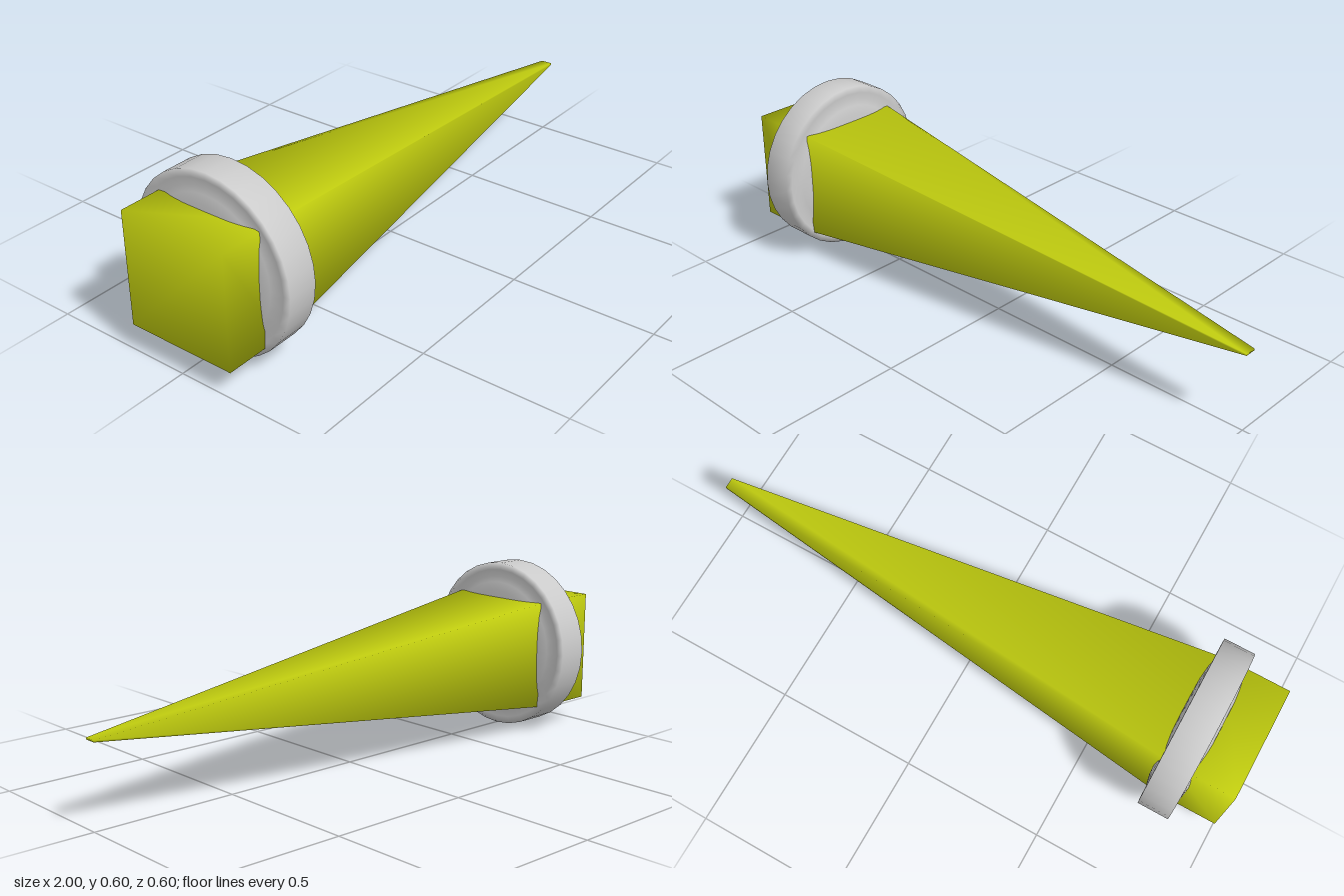
import * as THREE from 'three';

// Closed bar with rectangular sections along x; shared vertices keep it smooth
function taperedBar(sections) {
  const pos = [], idx = [];
  for (const [x, y, hy, hz] of sections)
    pos.push(x, y - hy, -hz, x, y - hy, hz, x, y + hy, hz, x, y + hy, -hz);
  for (let s = 0; s < sections.length - 1; s++)
    for (let i = 0; i < 4; i++) {
      const a = s * 4 + i, b = s * 4 + (i + 1) % 4;
      idx.push(a, a + 4, b, b, a + 4, b + 4);
    }
  const e = (sections.length - 1) * 4;
  idx.push(0, 1, 2, 0, 2, 3, e, e + 2, e + 1, e, e + 3, e + 2);
  const g = new THREE.BufferGeometry();
  g.setAttribute('position', new THREE.Float32BufferAttribute(pos, 3));
  g.setIndex(idx);
  g.computeVertexNormals();
  return g;
}

export function createModel() {
  const group = new THREE.Group();

  // Square shank running into a long taper with a thin chisel tip
  const spike = new THREE.Mesh(
    taperedBar([
      [-1, 0.285, 0.195, 0.195],
      [-0.79, 0.285, 0.195, 0.195],
      [1, 0.278, 0.003, 0.02],
    ]),
    new THREE.MeshStandardMaterial({ color: 0xc0cc0f })
  );
  spike.name = 'spike';
  group.add(spike);

  // Collar: outer band with a shallow domed flange on each side
  const half = [[0.16, 0.066], [0.2, 0.064], [0.23, 0.058], [0.25, 0.051], [0.275, 0.055], [0.3, 0.054]];
  const profile = [
    ...half.map(([r, x]) => new THREE.Vector2(r, -x)),
    ...half.map(([r, x]) => new THREE.Vector2(r, x)).reverse(),
  ];
  const collar = new THREE.Mesh(
    new THREE.LatheGeometry(profile, 32),
    new THREE.MeshStandardMaterial({ color: 0xcccccc, side: THREE.DoubleSide })
  );
  collar.name = 'collar';
  collar.rotation.z = -Math.PI / 2;
  collar.position.set(-0.8, 0.3, 0);
  group.add(collar);

  return group;
}
